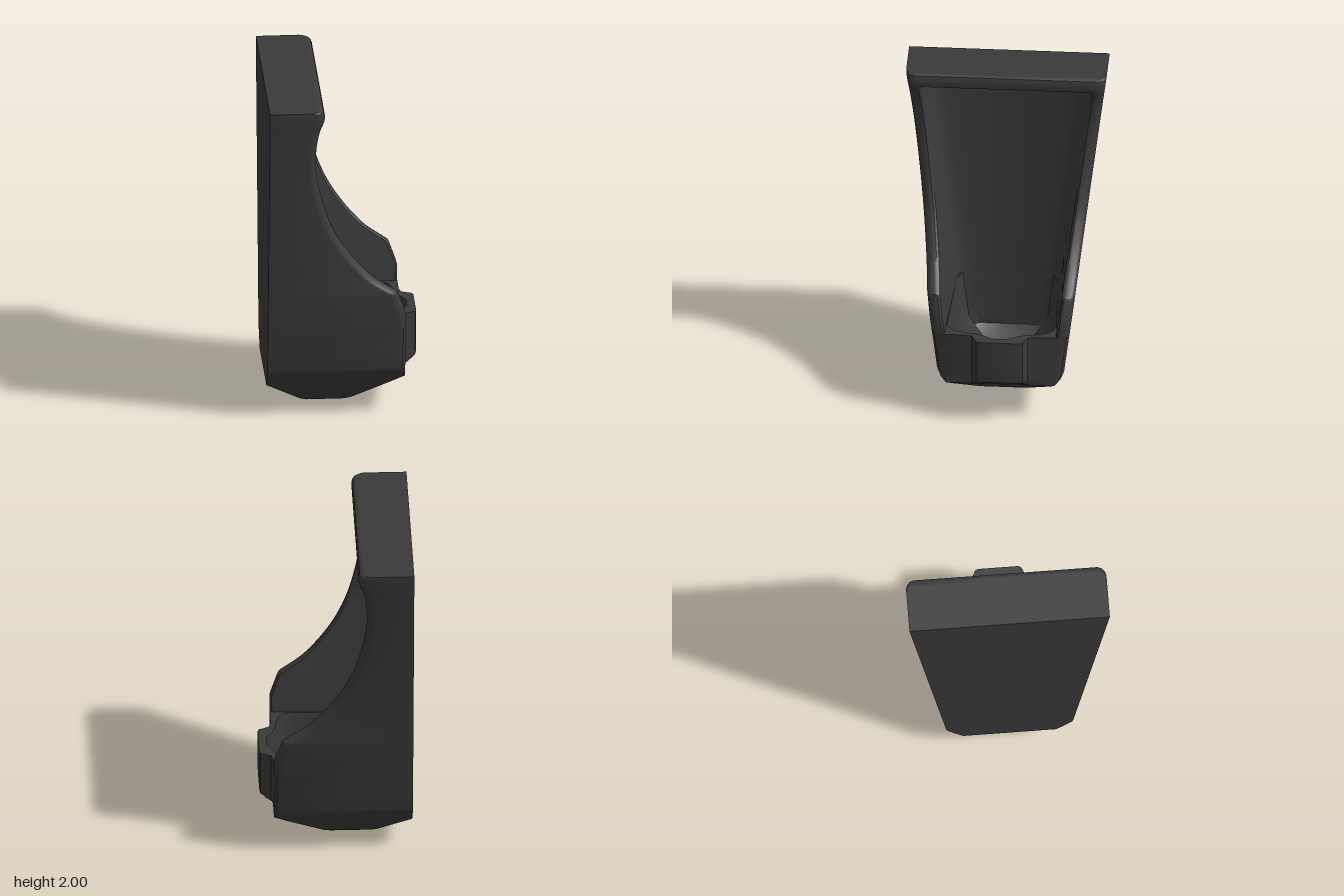
import * as THREE from 'three';
import { toCreasedNormals } from 'three/addons/utils/BufferGeometryUtils.js';

const material = new THREE.MeshStandardMaterial({ color: 0x3a3a3a });
const BACK = -0.44;
const FLOOR_X = -0.36; // inner face of the back plate

// half widths of the tapering outside and of the pocket
const outerWidth = (y) => 0.365 + 0.125 * (y - 0.28);
const innerWidth = (y) => outerWidth(y) - 0.075;

// mirror a half section [x, z] into a closed ring at height y
function ring(half, y) {
  const mirrored = half.slice(1, -1).reverse().map(([x, z]) => [x, -z]);
  return [...half, ...mirrored].map(([x, z]) => [x, y, z]);
}

// skin a stack of rings with equal point counts
function loft(name, rings) {
  const n = rings[0].length;
  const index = [];
  for (let j = 0; j < rings.length - 1; j++) {
    for (let i = 0; i < n; i++) {
      const k = (i + 1) % n;
      const a = j * n + i, b = j * n + k, c = b + n, d = a + n;
      index.push(a, b, c, a, c, d);
    }
  }
  const geometry = new THREE.BufferGeometry();
  geometry.setAttribute('position', new THREE.Float32BufferAttribute(rings.flat(2), 3));
  geometry.setIndex(index);
  const mesh = new THREE.Mesh(toCreasedNormals(geometry.toNonIndexed(), 0.6), material);
  mesh.name = name;
  return mesh;
}

// C-shaped section of the upper body: outside, rounded rim, pocket
function channelHalf(y, front) {
  const w = outerWidth(y), wi = innerWidth(y);
  const t = THREE.MathUtils.clamp((1.92 - y) / 0.12, 0, 1);
  const d = front + (FLOOR_X - front) * Math.sqrt(t * (2 - t));
  const f = Math.min(1, (front - d) / 0.19);
  return [
    [BACK, 0], [BACK, w / 2], [BACK, w],
    [front - 0.05, w], [front - 0.03, w - 0.006], [front - 0.01, w - 0.022], [front, w - 0.045],
    [front, wi + 0.012], [front - 0.012 * f, wi],
    [d + 0.09 * f, wi - 0.03 * f], [d + 0.05 * f, wi - 0.038 * f],
    [d + 0.02 * f, wi - 0.06 * f], [d, wi - 0.11 * f], [d, 0],
  ];
}

function upperBody() {
  // curved front edge of the side walls, as [x, y]
  const edge = new THREE.SplineCurve([
    [0.31, 0.785], [0.2, 0.86], [0.13, 0.925], [0.05, 1.02], [-0.03, 1.14], [-0.09, 1.27],
    [-0.13, 1.4], [-0.158, 1.53], [-0.17, 1.65], [-0.165, 1.76], [-0.15, 1.85], [-0.125, 1.92],
  ].map(([x, y]) => new THREE.Vector2(x, y))).getPoints(44).map((p) => [p.x, p.y]);
  const profile = [[0.36, 0.55], [0.36, 0.64], [0.352, 0.67], [0.318, 0.765], ...edge,
    [-0.12, 1.945], [-0.12, 1.972], [-0.127, 1.992], [-0.142, 2]];
  const rings = profile.map(([x, y]) => ring(channelHalf(y, x), y));
  // flat top closes on its centre line
  rings.push(ring(channelHalf(2, -0.142).map(([x]) => [x, 0]), 2));
  return loft('upperBody', rings);
}

// outside of the cup with the front tab, cut by the sloping underside
function cupOuter(y, inset = 0) {
  const w = outerWidth(y);
  const maxX = 0.02 + 1.5 * y - inset, minX = -0.2 - 1.41 * y + inset;
  const maxZ = 0.115 + 0.9 * y - inset;
  return [
    [BACK, 0], [BACK, w / 2], [BACK, w], [-0.1, w], [0.31, w], [0.345, w - 0.015],
    [0.36, w - 0.045], [0.36, 0.2], [0.372, 0.16], [0.41, 0.142], [0.43, 0.134],
    [0.438, 0.115], [0.438, 0],
  ].map(([x, z]) => [THREE.MathUtils.clamp(x, minX, maxX), Math.min(z, maxZ)]);
}

// inside of the cup, bulging into the tab
function cupInner(y) {
  const wi = innerWidth(y);
  const maxX = 1.5 * y - 0.09, minX = -0.1 - 1.41 * y, maxZ = 0.015 + 0.9 * y;
  const d = FLOOR_X;
  return [
    [d, 0], [d, wi - 0.11], [d + 0.02, wi - 0.06], [d + 0.09, wi - 0.03], [0.22, wi - 0.01],
    [0.27, wi - 0.018], [0.31, wi - 0.055], [0.33, 0.2], [0.338, 0.15], [0.355, 0.1],
    [0.375, 0.07], [0.39, 0.035], [0.39, 0],
  ].map(([x, z]) => [THREE.MathUtils.clamp(x, minX, maxX), Math.min(z, maxZ)]);
}

function cup() {
  // small drain hole in the underside
  const cx = -0.09, r = 0.035;
  const hole = cupOuter(0, 0.02).map((_, i, all) => {
    const a = Math.PI * (1 - i / (all.length - 1));
    return [cx + r * Math.cos(a), r * Math.sin(a)];
  });
  const rings = [ring(hole, 0.1), ring(hole, 0), ring(cupOuter(0, 0.025), 0)];
  for (const [y, inset] of [[0.006, 0.01], [0.025, 0], [0.1, 0], [0.17, 0], [0.227, 0],
    [0.26, 0.004], [0.28, 0.006], [0.3, 0], [0.4, 0], [0.55, 0]]) {
    rings.push(ring(cupOuter(y, inset), y));
  }
  for (const y of [0.55, 0.45, 0.38, 0.32, 0.26, 0.2, 0.15, 0.1]) {
    rings.push(ring(cupInner(y), y));
  }
  rings.push(ring(hole, 0.1));
  return loft('lowerCup', rings);
}

export function createModel() {
  const group = new THREE.Group();
  group.name = 'holder';
  group.add(upperBody(), cup());
  return group;
}
